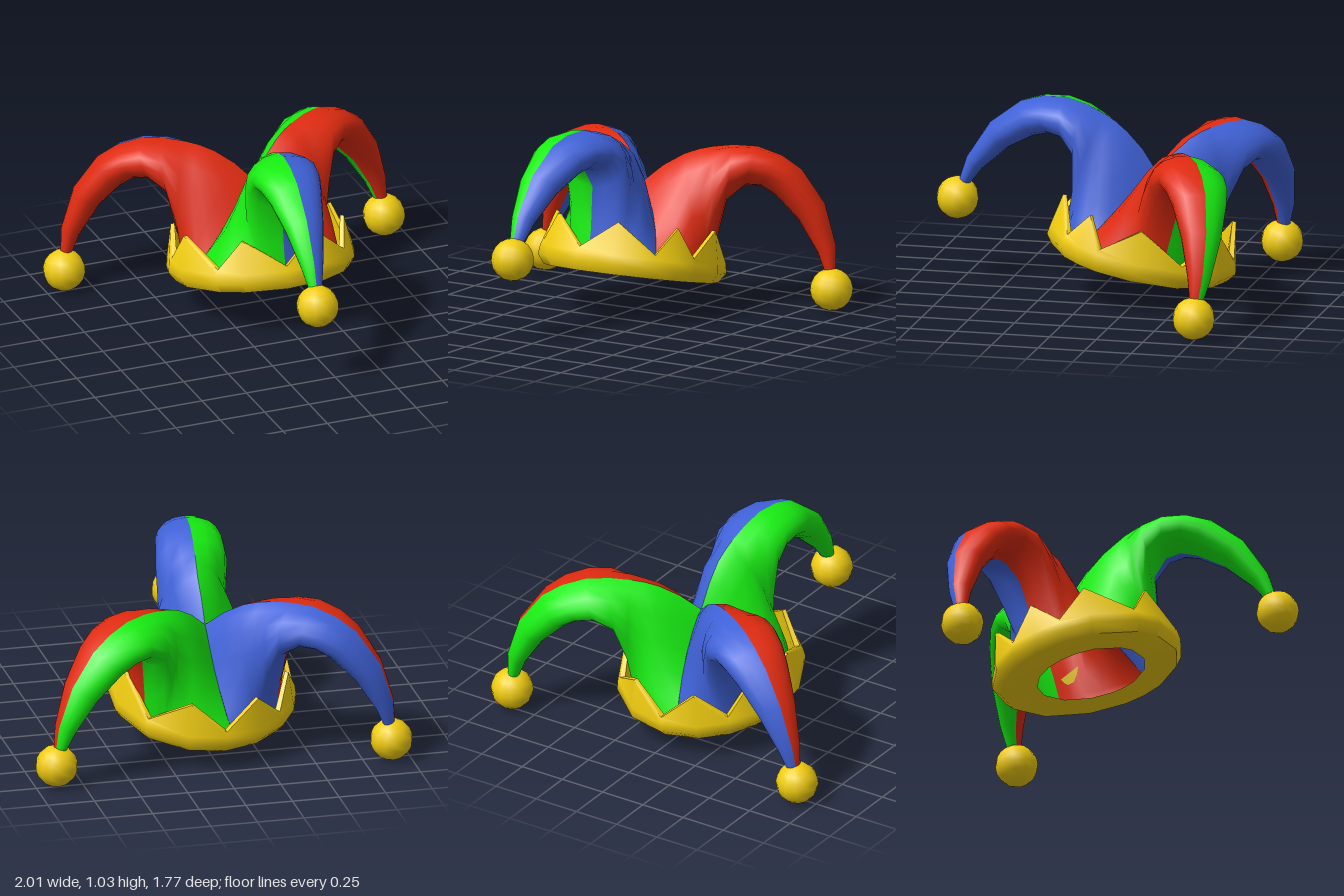
import * as THREE from 'three';
import { toCreasedNormals } from 'three/addons/utils/BufferGeometryUtils.js';

const RED = 0xdf2b10, GREEN = 0x18ee12, BLUE = 0x4062d8, GOLD = 0xf0cc10;
const deg = THREE.MathUtils.degToRad;

const paint = (color) => new THREE.MeshStandardMaterial({ color, side: THREE.DoubleSide });

function addMesh(parent, name, geometry, material) {
  const mesh = new THREE.Mesh(geometry, material);
  mesh.name = name;
  parent.add(mesh);
  return mesh;
}

// Grid surface from a rule point(i, j) -> [x, y, z]
function gridSurface(nu, nv, point, flip = false) {
  const positions = [], index = [];
  for (let i = 0; i <= nu; i++) for (let j = 0; j <= nv; j++) positions.push(...point(i, j));
  for (let i = 0; i < nu; i++) {
    for (let j = 0; j < nv; j++) {
      const a = i * (nv + 1) + j, b = a + nv + 1;
      if (flip) index.push(a, a + 1, b, b, a + 1, b + 1);
      else index.push(a, b, a + 1, b, b + 1, a + 1);
    }
  }
  const geometry = new THREE.BufferGeometry();
  geometry.setAttribute('position', new THREE.Float32BufferAttribute(positions, 3));
  geometry.setIndex(index);
  geometry.computeVertexNormals();
  return geometry;
}

// Horn cross-sections from the crown seam to the tip:
// ridge [out, up], underside [out, side, up], bulge [out, side]
const SECTIONS = [
  [[0.00, 0.48], [0.20, 0.346, 0.005], [0.03, 0.052]],
  [[0.10, 0.58], [0.315, 0.245, 0.005], [0.01, 0.10]],
  [[0.20, 0.65], [0.385, 0.12, 0.005], [0, 0.15]],
  [[0.27, 0.685], [0.40, 0, 0.005], [0, 0.175]],
  [[0.33, 0.705], [0.405, 0, 0.22], [0, 0.185]],
  [[0.43, 0.727], [0.43, 0, 0.44], [0, 0.192]],
  [[0.55, 0.733], [0.51, 0, 0.525], [0, 0.182]],
  [[0.68, 0.70], [0.59, 0, 0.53], [0, 0.17]],
  [[0.79, 0.64], [0.67, 0, 0.49], [0, 0.148]],
  [[0.93, 0.477], [0.80, 0, 0.38], [0, 0.108]],
  [[1.012, 0.266], [0.92, 0, 0.22], [0, 0.063]],
  [[1.03, 0.10], [0.985, 0, 0.09], [0, 0.03]],
];
const STEPS = 8;

// One coloured half of a horn; side is +1 or -1, bend swings the tip sideways,
// reach pushes the arch outward, swing and flare move the lower end of the crown seam
function hornHalf(side, { bend, reach }, { swing, flare }) {
  return gridSurface(SECTIONS.length - 1, STEPS, (i, j) => {
    const [top, low, bulge] = SECTIONS[i];
    const a = (Math.PI * j) / STEPS;
    const t = (1 - Math.cos(a)) / 2, s = Math.sin(a);
    const out = top[0] + (low[0] - top[0]) * t + bulge[0] * s;
    const lat = low[1] * t + bulge[1] * s;
    const up = top[1] + (low[2] - top[1]) * t;
    const seamAngle = Math.atan2(low[1], low[0]) * t;
    const grow = 1 + flare * seamAngle;
    const c = Math.cos(swing * seamAngle) * grow, d = Math.sin(swing * seamAngle) * grow;
    const z = out * c - lat * d, x = out * d + lat * c;
    const far = Math.max(0, out - 0.2) / 0.8;
    const push = Math.min(1, Math.max(0, i - 2) / 4);
    return [side * x + bend * far, up, z + reach * push];
  }, side < 0);
}

// Azimuths round the band, alternating valley and tip
const ZIGZAG = [-5, 20, 47, 62, 76, 100, 129, 158, 182, 205, 225, 243, 260, 279, 310, 327];

// Gold band with an uneven zigzag top edge and a flat rim underneath
function bandGeometry() {
  return toCreasedNormals(gridSurface(ZIGZAG.length, 7, (i, j) => {
    const az = deg(ZIGZAG[i % ZIGZAG.length]);
    const tip = i % 2 === 1;
    const top = tip ? 0.275 : 0.125;
    const profile = [
      [0.275, 0], [0.45, 0], [0.485, 0.05], [0.478, 0.1],
      [tip ? 0.445 : 0.463, top], [tip ? 0.425 : 0.435, top],
      [0.43, 0.01], [0.275, 0],
    ];
    const [r, y] = profile[j];
    const x = r * Math.sin(az), z = r * Math.cos(az);
    return [x < 0 ? x * 1.03 : x, y, z < 0 ? z * 1.1 : z];
  }), deg(55));
}

export function createModel() {
  const model = new THREE.Group();
  model.name = 'jesterHat';

  // Whole hat leans back
  const hat = new THREE.Group();
  hat.name = 'tiltedHat';
  hat.position.set(-0.01, 0.19, -0.21);
  hat.rotation.x = deg(-12);
  model.add(hat);

  addMesh(hat, 'band', bandGeometry(), paint(GOLD));

  // Three two-coloured horns, each ending in a bell
  const horns = [
    { name: 'frontHorn', az: 0, bend: -0.095, reach: 0.01,
      plus: { color: BLUE, swing: -0.2, flare: 0 }, minus: { color: GREEN, swing: 0.47, flare: 0 } },
    { name: 'leftHorn', az: 120, bend: 0.005, reach: 0.028,
      plus: { color: GREEN, swing: 0.17, flare: 0.12 }, minus: { color: RED, swing: 0.2, flare: 0 } },
    { name: 'rightHorn', az: -120, bend: -0.035, reach: 0.032,
      plus: { color: RED, swing: -0.47, flare: 0 }, minus: { color: BLUE, swing: -0.17, flare: 0.12 } },
  ];
  for (const spec of horns) {
    const { name, az, bend, reach, plus, minus } = spec;
    const horn = new THREE.Group();
    horn.name = name;
    horn.position.z = -0.015;
    horn.rotation.y = deg(az);
    hat.add(horn);
    addMesh(horn, name + 'HalfA', hornHalf(1, spec, plus), paint(plus.color));
    addMesh(horn, name + 'HalfB', hornHalf(-1, spec, minus), paint(minus.color));
    const bell = addMesh(horn, name + 'Bell', new THREE.SphereGeometry(0.112, 12, 9), paint(GOLD));
    bell.position.set(bend * 1.03, 0.035, 1.015 + reach);
  }
  return model;
}
